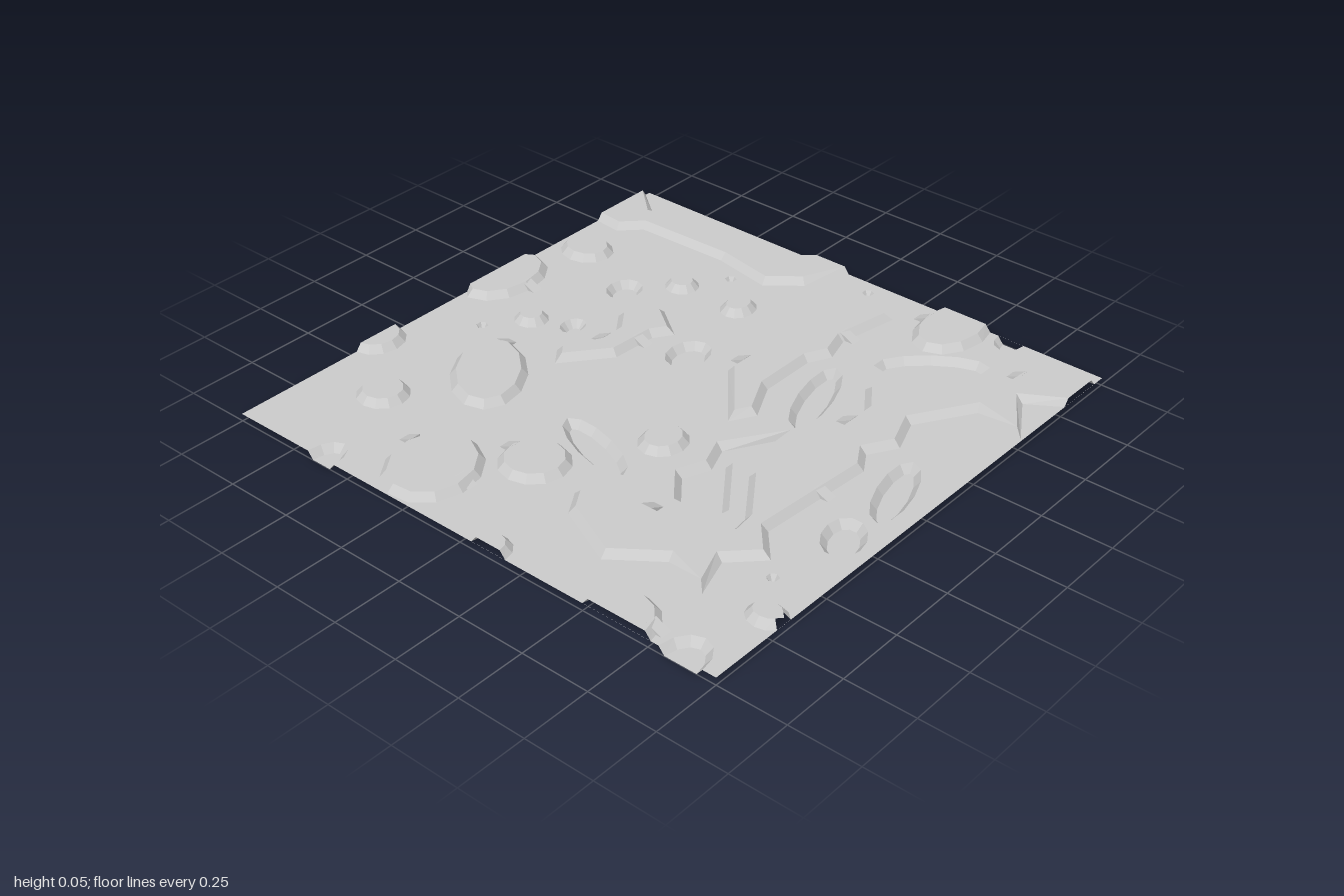
import * as THREE from 'three';

const MID = 0.027, TOP = 0.053, PIT = 0; // ground, plateau and pit heights
const SLOPE = 0.011;                     // half the width of a sloped wall
const EDGE = 0.9995;                     // outlines stop here at the tile border

// Rounded landforms in hundredths: centre x, z, radii, optional turn in radians
const mesas = [
  [-40, -100, 9, 8], [18, -97, 17, 12], [52, -88, 8, 9], [-62, -74, 8, 8], [4, -70, 5, 5],
  [55, -45, 5, 5], [56, -20, 6, 5], [-58, -9, 11, 11], [-23, 14, 8, 7], [-100, 12, 7, 6],
  [-100, 63, 13, 12], [-70, 94, 5, 6], [93, 45, 17, 11],
  [-31, -56, 20, 12, -0.7], [-81, -31, 18, 15, -0.4],
];
const hollows = [
  [-100, -62, 9, 5], [10, -56, 4, 3], [40, -59, 6, 5], [22, -14, 8, 6], [100, 64, 6, 4],
  [-100, 87, 10, 7], [-26, 88, 9, 6, -0.4], [-39, -1, 17, 5, 1.9], [29, 35, 18, 5, -0.3],
  [69, 53, 18, 6, 0.9], [3, 86, 16, 5, -0.3],
];
// Winding landforms: corners x, z in hundredths
const ridges = [
  [72, -100, 71, -90, 78, -83, 79, -46, 75, -24, 84, -13, 100, -6, 100, -20, 95, -27, 91, -72,
    87, -88, 97, -100],
  [-10, -44, -5, -48, 8, -41, 17, -41, 25, -47, 36, -38, 28, -27, 22, -31, 5, -32],
  [1, 22, 23, 4, 78, 4, 86, 12, 84, 24, 62, 20, 52, 23, 44, 19, 22, 19, 8, 26],
  [-80, 40, -70, 18, -62, 13, -54, 22, -54, 57, -46, 62, -38, 61, -20, 48, -6, 53, 33, 53, 43, 46,
    66, 78, 93, 80, 94, 100, 78, 100, 70, 87, 53, 98, 57, 80, 36, 67, 23, 72, 13, 66, 5, 71,
    -39, 68, -49, 77, -59, 67, -73, 72, -68, 56],
];
const trough = [-43, 51, -43, 37, -32, 28, -22, 32, -12, 28, 7, 40, -8, 40, -18, 37, -38, 52];
const dimples = [[-10, -80], [70, -35], [94, 8], [-55, 84]];
// Upper ends of the ramps, x and z, by the side they run down to
const ramps = {
  back: [[-75, -45], [10, -40], [-57, -18], [30, 5], [24, 54], [82, 81], [92, 36]],
  front: [[19, -87], [-80, -20], [17, -33], [65, 19], [-13, 68], [-95, 72]],
  left: [[-16, -65], [-55, 35]],
};

const material = new THREE.MeshStandardMaterial({ color: 0xcccccc, flatShading: true, side: THREE.DoubleSide });

const onSameEdge = (a, b) =>
  (Math.abs(a.x) >= EDGE && a.x === b.x) || (Math.abs(a.y) >= EDGE && a.y === b.y);

// Neighbours of each point around a closed loop
const around = (pts, i) => [pts.at(i - 1), pts[(i + 1) % pts.length]];

// Loop in the x, -z plane: kept on the tile, counter-clockwise, without spare border points
function closedLoop(pairs) {
  const fit = (v) => THREE.MathUtils.clamp(v / 100, -EDGE, EDGE);
  const pts = pairs.map(([x, z]) => new THREE.Vector2(fit(x), fit(-z)));
  if (THREE.ShapeUtils.area(pts) < 0) pts.reverse();
  return pts.filter((p, i) => !around(pts, i).every((q) => onSameEdge(p, q)));
}

function cornerLoop(list) {
  const pairs = [];
  for (let i = 0; i < list.length; i += 2) pairs.push([list[i], list[i + 1]]);
  return closedLoop(pairs);
}

function roundLoop([x, z, rx, rz, turn = 0], sides = 12) {
  const c = Math.cos(turn), s = Math.sin(turn);
  return closedLoop(Array.from({ length: sides }, (_, i) => {
    const a = i / sides * Math.PI * 2, u = rx * Math.cos(a), v = rz * Math.sin(a);
    return [x + u * c - v * s, z + u * s + v * c];
  }));
}

// Mitred offset, outward for positive d; border points slide along the border
function offset(pts, d) {
  return pts.map((p, i) => {
    const [before, after] = around(pts, i);
    const normals = [[before, p], [p, after]]
      .filter(([a, b]) => !onSameEdge(a, b))
      .map(([a, b]) => new THREE.Vector2(b.y - a.y, a.x - b.x).normalize());
    const m = new THREE.Vector2();
    normals.forEach((v) => m.add(v));
    m.normalize();
    const q = p.clone().addScaledVector(m, d / Math.max(0.6, m.dot(normals[0])));
    for (const k of ['x', 'y']) {
      q[k] = Math.abs(p[k]) >= EDGE ? p[k] : THREE.MathUtils.clamp(q[k], -EDGE, EDGE);
    }
    return q;
  });
}

function flat(shape, y) {
  return new THREE.ShapeGeometry(shape).rotateX(-Math.PI / 2).translate(0, y, 0);
}

// Sloped wall joining two matching loops, left open at the tile border
function wall(low, yLow, high, yHigh) {
  const pos = [];
  low.forEach((a, i) => {
    const j = (i + 1) % low.length, b = low[j], c = high[j], d = high[i];
    if (onSameEdge(a, b)) return;
    const A = [a.x, yLow, -a.y], B = [b.x, yLow, -b.y], C = [c.x, yHigh, -c.y], D = [d.x, yHigh, -d.y];
    pos.push(...A, ...B, ...C, ...A, ...C, ...D);
  });
  const g = new THREE.BufferGeometry();
  g.setAttribute('position', new THREE.Float32BufferAttribute(pos, 3));
  g.computeVertexNormals();
  return g;
}

export function createModel() {
  const model = new THREE.Group();
  model.name = 'terrainTile';
  const add = (parent, name, geometry) => {
    const mesh = new THREE.Mesh(geometry, material);
    mesh.name = name;
    parent.add(mesh);
    return mesh;
  };

  const ground = new THREE.Shape().moveTo(-1, -1).lineTo(1, -1).lineTo(1, 1).lineTo(-1, 1);

  // Each landform cuts the ground and closes it with a wall and a cap or floor
  const landform = (name, loop, y, slope = SLOPE) => {
    const rim = offset(loop, slope), inner = offset(loop, -slope);
    ground.holes.push(new THREE.Path(rim));
    const part = new THREE.Group();
    part.name = name;
    add(part, name + 'Wall', wall(rim, MID, inner, y));
    add(part, name + (y > MID ? 'Cap' : 'Floor'), flat(new THREE.Shape(inner), y));
    model.add(part);
  };
  mesas.forEach((m) => landform('plateau', roundLoop(m), TOP));
  ridges.forEach((r) => landform('ridge', cornerLoop(r), TOP));
  hollows.forEach((h) => landform('pit', roundLoop(h), PIT));
  landform('trough', cornerLoop(trough), PIT);
  dimples.forEach(([x, z]) => landform('dimple', roundLoop([x, z, 1.2, 1.2], 6), PIT, 0.008));

  add(model, 'ground', flat(ground, MID));

  // Wedge ramps leading down from the plateaus
  const wedge = new THREE.Shape().moveTo(0, 0).lineTo(0.055, 0).lineTo(0, TOP - MID);
  const rampGeometry = new THREE.ExtrudeGeometry(wedge, { depth: 0.04, bevelEnabled: false }).translate(0, 0, -0.02);
  const turns = { back: Math.PI / 2, front: -Math.PI / 2, left: 0 };
  for (const [side, places] of Object.entries(ramps)) {
    for (const [x, z] of places) {
      const ramp = add(model, side + 'Ramp', rampGeometry);
      ramp.position.set(x / 100, MID + 0.0004, z / 100);
      ramp.rotation.y = turns[side];
    }
  }
  return model;
}
